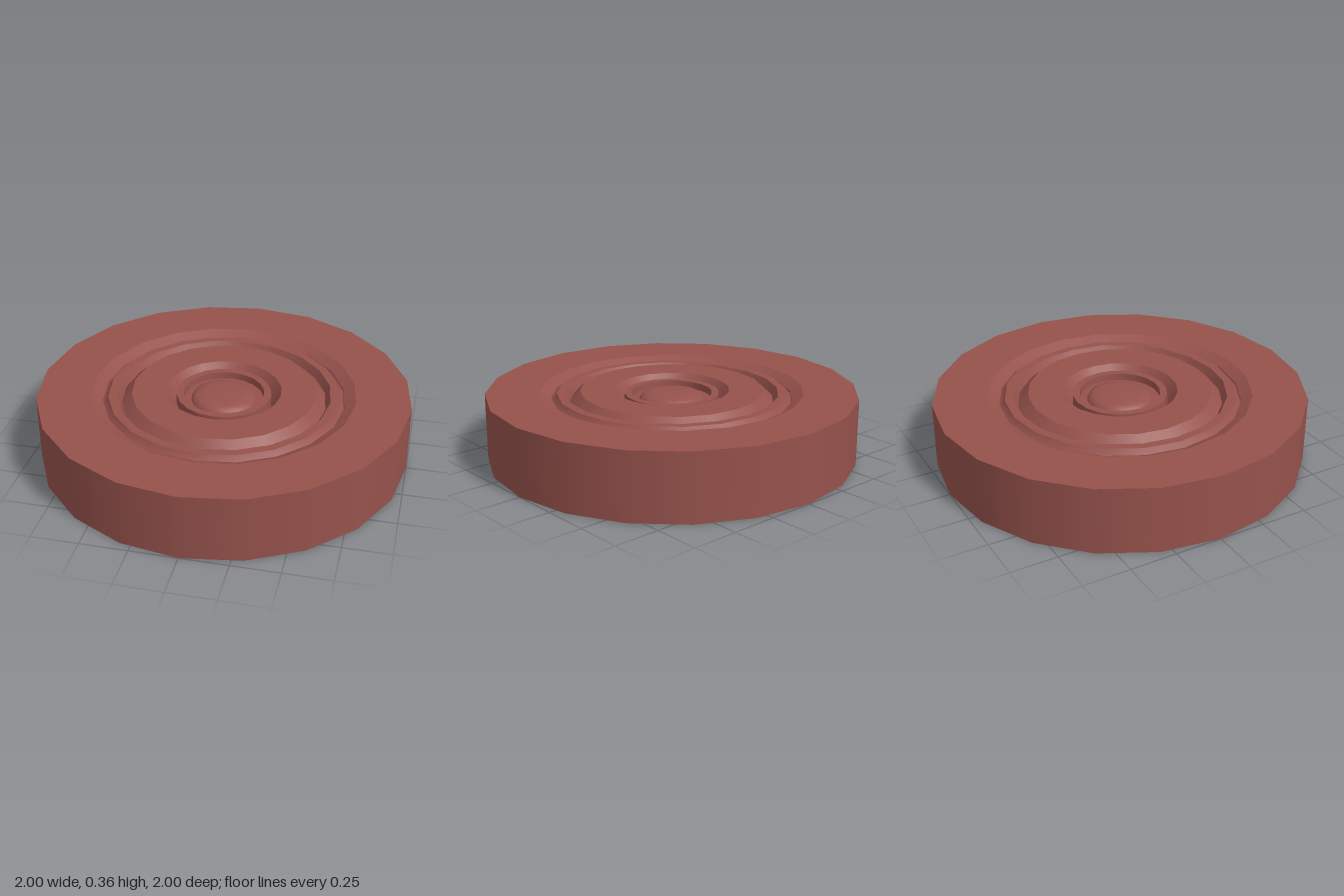
import * as THREE from 'three';

const SIDES = 20;
const MID = 0.18; // half of the wheel's thickness

// Face bands, from the tread inwards: [radius, height above the middle plane].
// Each band is smooth around the wheel and has sharp edges to its neighbours.
const BANDS = {
  sidewall: [[1, 0.18], [0.71, 0.18]],
  sidewallBevel: [[0.71, 0.18], [0.65, 0.148]],
  rimOuterWall: [[0.65, 0.148], [0.645, 0.13], [0.62, 0.17]],
  rimLip: [[0.62, 0.17], [0.575, 0.17]],
  rimInnerWall: [[0.575, 0.17], [0.55, 0.125]],
  discEdge: [[0.55, 0.125], [0.495, 0.18]],
  disc: [[0.495, 0.18], [0.31, 0.18]],
  hubBevel: [[0.31, 0.18], [0.257, 0.11]],
  hubOuterWall: [[0.257, 0.11], [0.255, 0.162]],
  hubLip: [[0.255, 0.162], [0.217, 0.162]],
  hubInnerWall: [[0.217, 0.162], [0.214, 0.125]],
  hubFloor: [[0.214, 0.125], [0.177, 0.125]],
  hubCap: [[0.177, 0.125], [0.168, 0.142], [0.145, 0.156], [0.1, 0.163], [0, 0.166]],
};

function lathe(points, material, name) {
  const geometry = new THREE.LatheGeometry(points.map(([r, y]) => new THREE.Vector2(r, y)), SIDES);
  const mesh = new THREE.Mesh(geometry, material);
  mesh.name = name;
  return mesh;
}

export function createModel() {
  const model = new THREE.Group();
  model.name = 'wheel';
  const material = new THREE.MeshStandardMaterial({ color: 0x96524c });
  material.name = 'brick red';

  // Tread around the outside
  const tread = lathe([[1, -MID], [1, MID]], material, 'tread');
  tread.position.y = MID;
  model.add(tread);

  // The same stepped face on top and underneath
  for (const side of [1, -1]) {
    const face = new THREE.Group();
    face.name = side > 0 ? 'upperFace' : 'lowerFace';
    face.position.y = MID;
    for (const [name, profile] of Object.entries(BANDS)) {
      const points = profile.map(([r, y]) => [r, y * side]);
      if (side < 0) points.reverse(); // keep the surface facing outwards
      face.add(lathe(points, material, name));
    }
    model.add(face);
  }
  return model;
}
